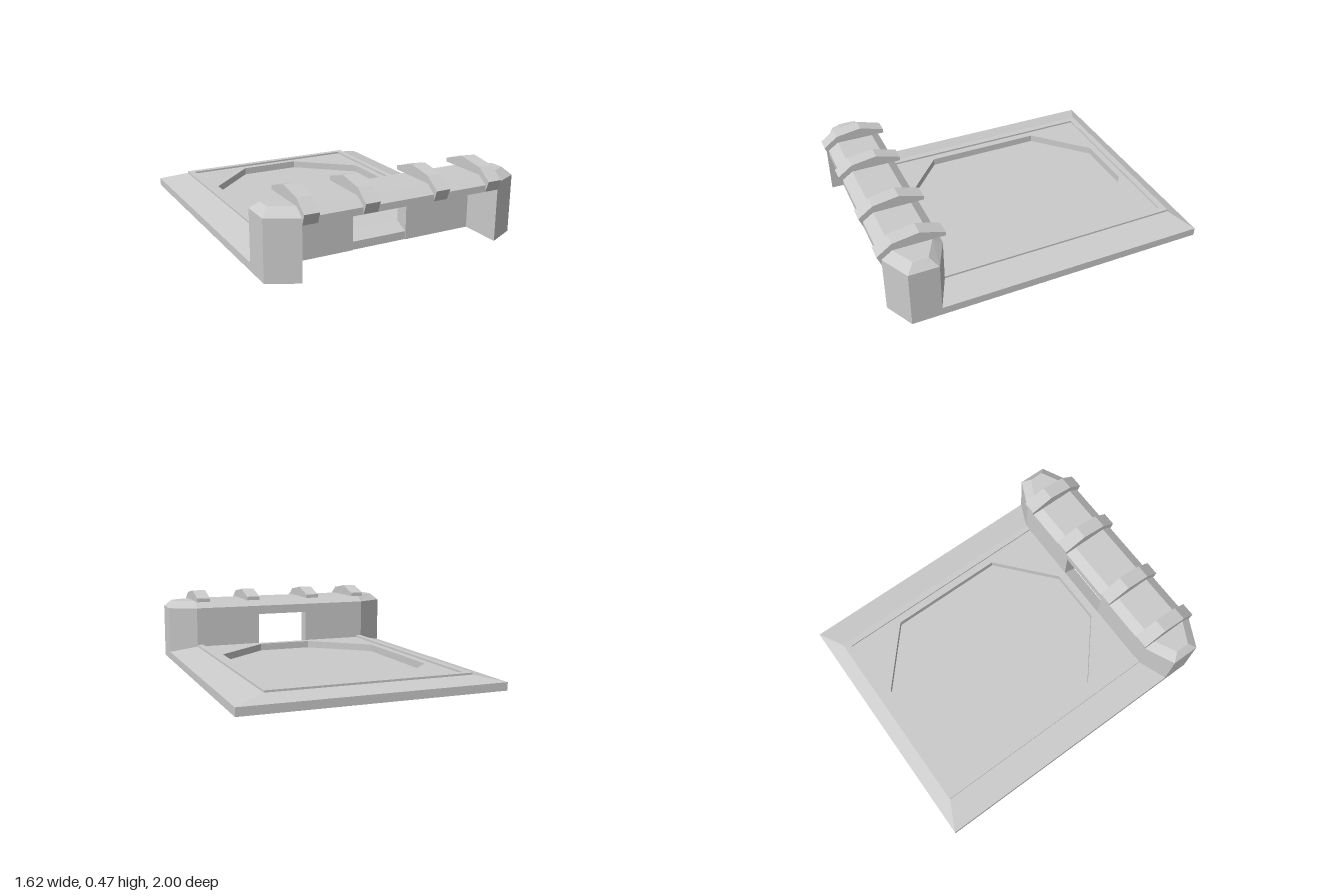
import * as THREE from 'three';
import { mergeGeometries } from 'three/addons/utils/BufferGeometryUtils.js';

const material = new THREE.MeshStandardMaterial({
  color: 0xcccccc, flatShading: true, side: THREE.DoubleSide,
});

// Plan outlines are lists of [x, z], running front, +x side, back, -x side.
const rect = (x, back, front) => [[-x, front], [x, front], [x, back], [-x, back]];

const octagon = (x, midX, back, midBack, midFront, front) => [
  [-midX, front], [midX, front], [x, midFront], [x, midBack],
  [midX, back], [-midX, back], [-x, midBack], [-x, midFront],
];

const mirrored = (outline) => outline.map(([x, z]) => [-x, z]).reverse();

// Side walls joining a stack of outlines, each given as [outline, y]
function loft(levels) {
  const pos = [];
  for (let k = 0; k + 1 < levels.length; k++) {
    const [lower, y0] = levels[k];
    const [upper, y1] = levels[k + 1];
    lower.forEach((p, i) => {
      const j = (i + 1) % lower.length;
      const a = [p[0], y0, p[1]];
      const b = [lower[j][0], y0, lower[j][1]];
      const c = [upper[j][0], y1, upper[j][1]];
      const d = [upper[i][0], y1, upper[i][1]];
      pos.push(...a, ...b, ...c, ...a, ...c, ...d);
    });
  }
  const g = new THREE.BufferGeometry();
  g.setAttribute('position', new THREE.Float32BufferAttribute(pos, 3));
  g.computeVertexNormals();
  return g;
}

const planShape = (outline) =>
  new THREE.Shape(outline.map(([x, z]) => new THREE.Vector2(x, -z)));

// Flat upward-facing sheet at height y, with an optional hole
function sheet(outline, y, hole) {
  const shape = planShape(outline);
  if (hole) shape.holes.push(planShape(hole));
  const g = new THREE.ShapeGeometry(shape).rotateX(-Math.PI / 2).translate(0, y, 0);
  g.deleteAttribute('uv');
  return g.toNonIndexed();
}

// Solid with a [z, y] side profile, running from x0 to x1
function acrossX(profile, x0, x1) {
  const shape = new THREE.Shape(profile.map(([z, y]) => new THREE.Vector2(-z, y)));
  return new THREE.ExtrudeGeometry(shape, { depth: x1 - x0, bevelEnabled: false })
    .rotateY(Math.PI / 2).translate(x0, 0, 0);
}

export function createModel() {
  const model = new THREE.Group();
  const add = (name, geometry) => {
    const mesh = new THREE.Mesh(geometry, material);
    mesh.name = name;
    model.add(mesh);
  };

  // Hollow base with sloped edges and a sunken eight-sided pan
  const foot = rect(0.81, -1, 0.705);
  const floor = rect(0.63, -0.91, 0.62);
  const pan = octagon(0.543, 0.18, -0.825, -0.51, 0.255, 0.57);
  pan[5][0] = -0.217;
  add('baseEdge', loft([[foot, 0], [foot, 0.05], [floor, 0.09]]));
  add('baseFloor', sheet(floor, 0.09, pan));
  add('sunkenPan', mergeGeometries([loft([[pan, 0.09], [pan, 0.043]]), sheet(pan, 0.043)]));

  // Raised strip round three sides of the floor
  const strip = [
    [-0.63, 0.62], [-0.59, 0.62], [-0.59, -0.87], [0.59, -0.87],
    [0.59, 0.62], [0.63, 0.62], [0.63, -0.91], [-0.63, -0.91],
  ];
  add('floorStrip', mergeGeometries([loft([[strip, 0.09], [strip, 0.102]]), sheet(strip, 0.102)]));

  // End piers with the set-back wall panels beside the opening
  const pier = [
    [0.63, 0.975], [0.81, 0.885], [0.81, 0.705], [0.63, 0.62],
    [0.18, 0.62], [0.18, 0.71], [0.63, 0.71],
  ];
  add('leftPier', loft([[pier, 0], [pier, 0.36]]));
  add('rightPier', loft([[mirrored(pier), 0], [mirrored(pier), 0.36]]));

  // Overhanging beam above the opening
  add('beam', acrossX(
    [[0.975, 0.36], [0.62, 0.36], [0.62, 0.30], [0.71, 0.30], [0.975, 0.32]], -0.63, 0.63));

  // Bevelled top of the barrier
  const eaves = octagon(0.81, 0.63, 0.62, 0.705, 0.885, 0.975);
  const ridge = octagon(0.765, 0.63, 0.68, 0.75, 0.84, 0.91);
  add('barrierTop', mergeGeometries([loft([[eaves, 0.36], [ridge, 0.405]]), sheet(ridge, 0.405)]));

  // Four curved straps over the top
  const strap = [
    [0.975, 0.32], [1, 0.385], [0.91, 0.45], [0.75, 0.475],
    [0.6, 0.43], [0.6, 0.405], [0.91, 0.404], [0.974, 0.36],
  ];
  for (const x of [-0.585, -0.225, 0.225, 0.585]) {
    add('strap', acrossX(strap, x - 0.045, x + 0.045));
  }
  return model;
}
